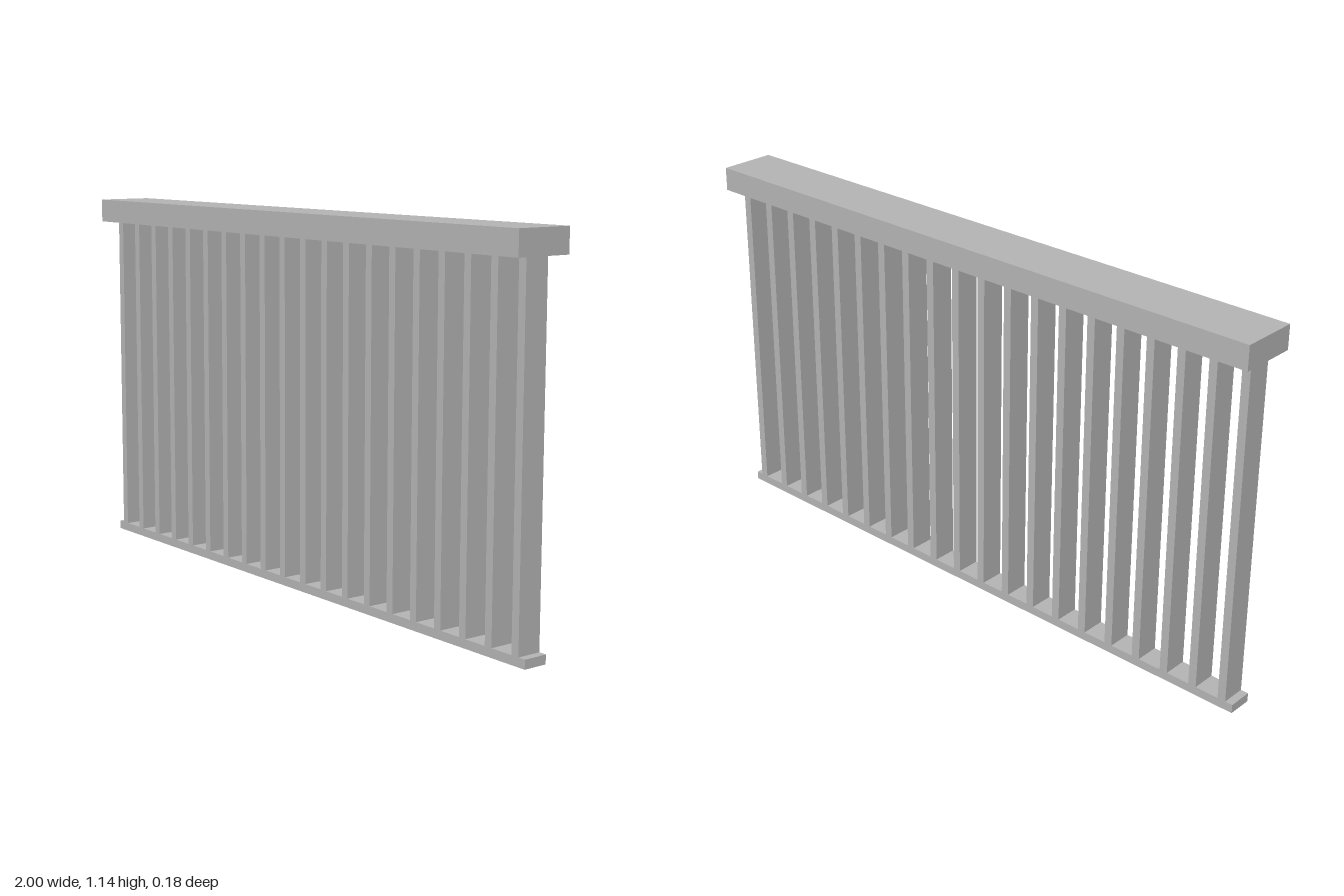
import * as THREE from 'three';

export function createModel() {
  const group = new THREE.Group();
  const grey = new THREE.MeshStandardMaterial({ color: 0xb2b2b2 });
  grey.name = 'grey';

  // Adds a box standing on the height y
  function addBox(name, width, height, depth, x, y) {
    const mesh = new THREE.Mesh(new THREE.BoxGeometry(width, height, depth), grey);
    mesh.name = name;
    mesh.position.set(x, y + height / 2, 0);
    group.add(mesh);
  }

  const railBottom = 1.067;
  const plateHeight = 0.027;

  // Wide handrail and thin foot plate
  addBox('handrail', 2, 0.073, 0.178, 0, railBottom);
  addBox('footPlate', 2, plateHeight, 0.076, 0, 0);

  // Evenly spaced flat balusters
  const count = 20;
  const endX = 0.963;
  for (let i = 0; i < count; i++) {
    const x = -endX + (2 * endX * i) / (count - 1);
    addBox('baluster' + (i + 1), 0.026, railBottom - plateHeight, 0.076, x, plateHeight);
  }

  return group;
}
